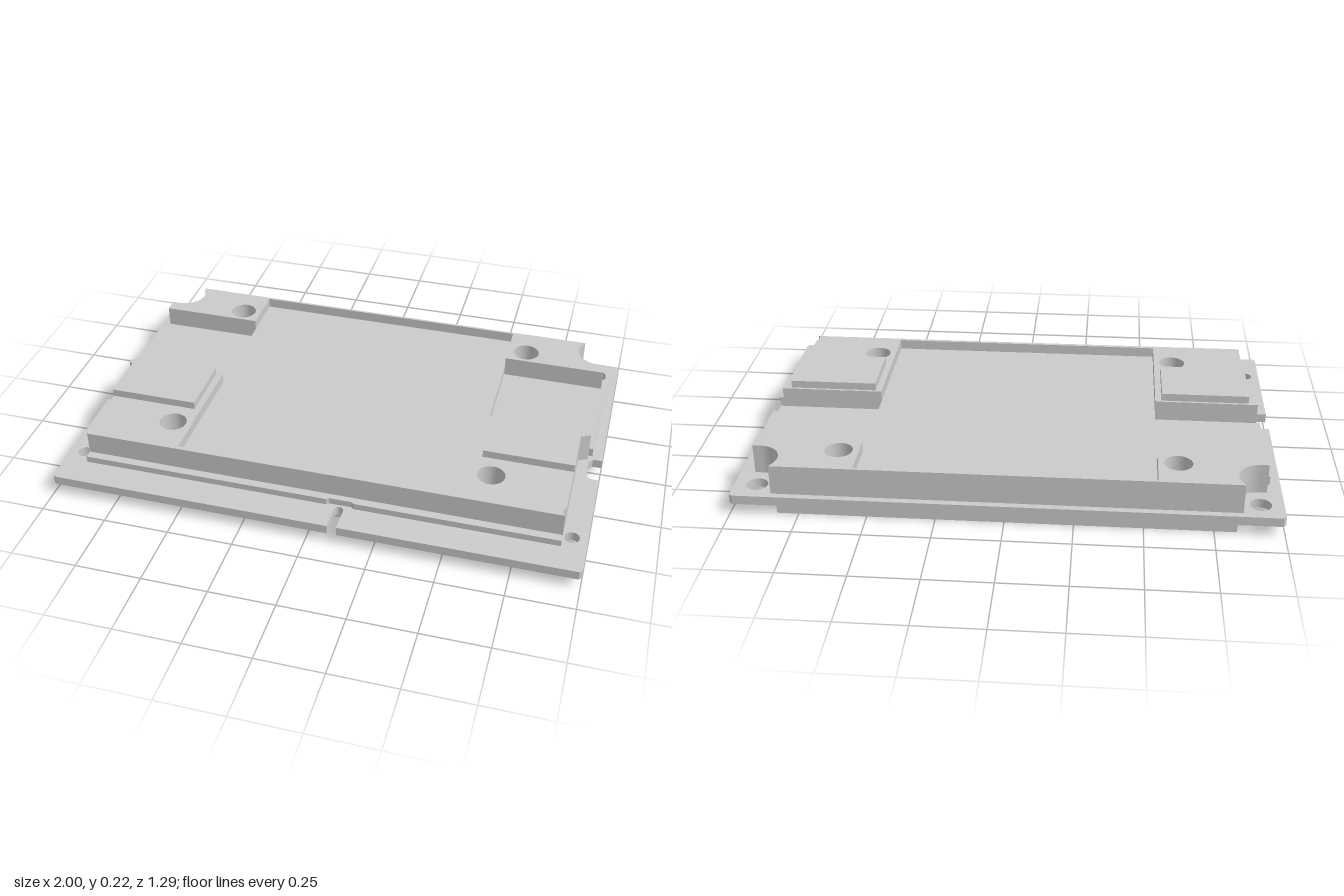
import * as THREE from 'three';

const material = new THREE.MeshStandardMaterial({ color: 0xcccccc });
const RAD = Math.PI / 180;

// Plan outlines are lists of [x, z]
const arc = (cx, cz, r, from, to, n = 16) => Array.from({ length: n + 1 }, (_, i) => {
  const a = (from + (to - from) * i / n) * RAD;
  return [cx + r * Math.cos(a), cz + r * Math.sin(a)];
});
const mirrorX = (half) => [...half, ...half.map(([x, z]) => [-x, z]).reverse()];

// Plan points as a loop that runs clockwise or anticlockwise as asked
function loop(pts, clockwise) {
  const v = pts.map(([x, z]) => new THREE.Vector2(x, -z));
  return THREE.ShapeUtils.isClockWise(v) === clockwise ? v : v.reverse();
}

// Extrudes a plan outline with holes from y0 up to y1
function layer(name, outline, holes, y0, y1) {
  const shape = new THREE.Shape(loop(outline, false));
  for (const h of holes) shape.holes.push(new THREE.Path(loop(h, true)));
  const geo = new THREE.ExtrudeGeometry(shape, { depth: y1 - y0, bevelEnabled: false });
  geo.rotateX(-Math.PI / 2).translate(0, y0, 0);
  const mesh = new THREE.Mesh(geo, material);
  mesh.name = name;
  return mesh;
}

function box(name, x0, x1, y0, y1, z0, z1) {
  const geo = new THREE.BoxGeometry(x1 - x0, y1 - y0, z1 - z0);
  geo.translate((x0 + x1) / 2, (y0 + y1) / 2, (z0 + z1) / 2);
  const mesh = new THREE.Mesh(geo, material);
  mesh.name = name;
  return mesh;
}

const circle = (x, z, r) => arc(x, z, r, 0, 360 - 360 / 32, 31);
const circlePair = (x, z, r) => [circle(x, z, r), circle(-x, z, r)];

// Branching recess: a central bar with four arms ending in round pads
function branchOutline() {
  const cz = -0.07, back = -122.7;
  const quarter = [[0.43, 0],
    ...arc(0.62, 0.415, 0.1, back + 30, back + 330, 24), [0.33, 0.08]];
  const flip = (sx, sz) => quarter.map(([x, z]) => [x * sx, z * sz + cz]);
  return [
    ...flip(1, 1), ...flip(-1, 1).reverse(),
    ...flip(-1, -1).slice(1), ...flip(1, -1).reverse().slice(0, -1),
  ];
}

export function createModel() {
  const group = new THREE.Group();
  group.name = 'mountingPlate';
  const branch = branchOutline();
  const boltX = 0.62, backZ = -0.485, frontZ = 0.345, boltR = 0.052;

  // Underside slab, scooped around the corner holes
  const slab = mirrorX([
    [0.83, -0.63], ...arc(0.915, -0.56, 0.11, 220, 75), [0.943, -0.43],
    [0.943, 0], [0.91, 0.02], ...arc(0.94, 0.475, 0.04, 221, 139, 8), [0.91, 0.502],
  ]);
  group.add(layer('undersideSlab', slab, [branch], 0, 0.04));

  // Base flange with side notches, front slot and corner holes
  const rightSide = [[0.99, -0.645], [1, -0.635], [1, 0.01], [0.965, 0.01], [0.95, 0.03],
    [0.95, 0.11], [0.965, 0.13], [1, 0.13], [1, 0.635], [0.99, 0.645]];
  const leftSide = rightSide.map(([x, z]) => [-x, z]).reverse();
  const slot = [[0.115, 0.645], ...arc(0.0975, 0.55, 0.0175, 0, -180, 8), [0.08, 0.645]];
  group.add(layer('baseFlange', [...rightSide, ...slot, ...leftSide], [
    branch, ...circlePair(0.915, -0.56, 0.04), ...circlePair(0.942, 0.475, 0.028),
  ], 0.04, 0.075));

  // Sunken centre panel
  group.add(box('centrePanel', -0.545, 0.545, 0.075, 0.15, -0.61, 0.483));

  // Front body: two blocks joined by a thin rim
  const frontBody = mirrorX([
    [0.545, 0.483], [0.545, -0.01], [0.945, -0.01], [0.945, 0.01], [0.91, 0.03],
    ...arc(0.94, 0.475, 0.04, 221, 139, 8), [0.91, 0.498],
  ]);
  group.add(layer('frontBody', frontBody, circlePair(boltX, frontZ, boltR), 0.075, 0.19));

  // Back body: two blocks joined by a thin rim, scooped at the corners
  const backBody = mirrorX([
    [0.545, -0.61], [0.545, -0.42], [0.945, -0.42], [0.945, -0.475],
    ...arc(0.915, -0.56, 0.085, 90, 205), [0.85, -0.62],
  ]);
  group.add(layer('backBody', backBody, circlePair(boltX, backZ, boltR), 0.075, 0.19));

  // Front ledge, relieved behind the slot
  const ledge = [[-0.91, 0.495], [0.91, 0.495], [0.91, 0.53], [0.15, 0.53],
    [0.14, 0.522], [0.055, 0.522], [0.045, 0.53], [-0.91, 0.53]];
  group.add(layer('frontLedge', ledge, [], 0.02, 0.1));

  // Side shelves and raised pads
  for (const [side, s] of [['left', 1], ['right', -1]]) {
    const span = (a, b) => s > 0 ? [a, b] : [-b, -a];
    group.add(box(side + 'Shelf', ...span(0.545, 0.96), 0.075, 0.11, -0.42, -0.01));
    group.add(box(side + 'RaisedPad', ...span(0.57, 0.91), 0.19, 0.22, 0, 0.247));
  }
  return group;
}
